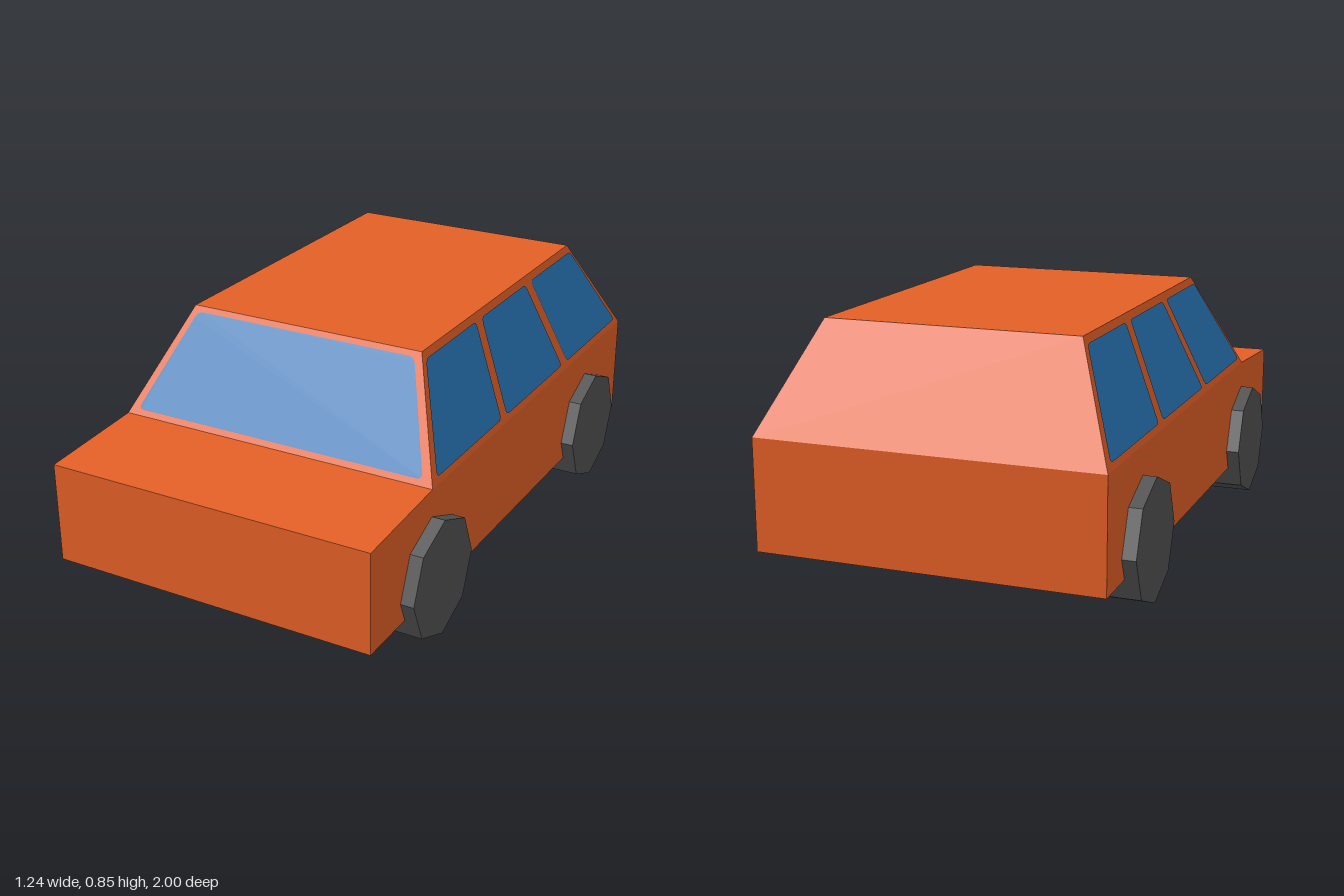
import * as THREE from 'three';

const HALF_W = 0.575, BELT = 0.5, ROOF = 0.847;

// Closed outline with small rounded corners
function roundedShape(pts, r = 0.02) {
  const v = pts.map(([a, b]) => new THREE.Vector2(a, b));
  const shape = new THREE.Shape();
  v.forEach((p, i) => {
    const toward = (q) => p.clone().add(q.clone().sub(p).setLength(r));
    const a = toward(v[(i + v.length - 1) % v.length]);
    const b = toward(v[(i + 1) % v.length]);
    if (i === 0) shape.moveTo(a.x, a.y);
    else shape.lineTo(a.x, a.y);
    shape.quadraticCurveTo(p.x, p.y, b.x, b.y);
  });
  shape.closePath();
  return shape;
}

// Lays a flat outline (u, y) onto a sloping cabin face
function pane(name, pts, material, place) {
  const geo = new THREE.ShapeGeometry(roundedShape(pts), 4);
  const pos = geo.attributes.position;
  for (let i = 0; i < pos.count; i++) {
    pos.setXYZ(i, ...place(pos.getX(i), pos.getY(i)));
  }
  geo.computeVertexNormals();
  const mesh = new THREE.Mesh(geo, material);
  mesh.name = name;
  return mesh;
}

export function createModel() {
  const car = new THREE.Group();
  car.name = 'car';

  const paint = new THREE.MeshStandardMaterial({ color: 0xe35f26 });
  paint.name = 'orange paint';
  const glass = new THREE.MeshStandardMaterial({ color: 0x2879ba });
  glass.name = 'blue glass';
  const rubber = new THREE.MeshStandardMaterial({ color: 0x525252, flatShading: true });
  rubber.name = 'dark grey rubber';

  // Lower body: side profile (z, y) extruded across the width
  const profile = new THREE.Shape(
    [[-1, 0.13], [1, 0.13], [1, 0.475], [0.61, BELT], [-1, BELT]].map(([z, y]) => new THREE.Vector2(z, y)));
  const bodyGeo = new THREE.ExtrudeGeometry(profile, { depth: 2 * HALF_W, bevelEnabled: false });
  bodyGeo.translate(0, 0, -HALF_W).rotateY(-Math.PI / 2);
  const body = new THREE.Mesh(bodyGeo, paint);
  body.name = 'lowerBody';
  car.add(body);

  // Cabin: a box tapering towards the roof
  const cabinGeo = new THREE.BoxGeometry(2, 2, 2);
  const p = cabinGeo.attributes.position;
  for (let i = 0; i < p.count; i++) {
    const top = p.getY(i) > 0, front = p.getZ(i) > 0;
    p.setXYZ(i,
      p.getX(i) * (top ? 0.425 : HALF_W),
      top ? ROOF : BELT,
      front ? (top ? 0.4 : 0.61) : (top ? -0.79 : -1));
  }
  cabinGeo.computeVertexNormals();
  const cabin = new THREE.Mesh(cabinGeo, paint);
  cabin.name = 'cabin';
  car.add(cabin);

  // Windscreen
  const rise = (y) => (y - BELT) / (ROOF - BELT);
  car.add(pane('windscreen',
    [[-0.536, 0.52], [0.536, 0.52], [0.406, 0.831], [-0.406, 0.831]], glass,
    (u, y) => [u, y, 0.614 - 0.21 * rise(y)]));

  // Side windows, three on each side, given as (z, y)
  const lo = 0.522, hi = 0.825;
  const windows = {
    FrontWindow: [[0.57, lo], [0.397, hi], [0.033, hi], [0.092, lo]],
    MiddleWindow: [[0.05, lo], [-0.01, hi], [-0.373, hi], [-0.432, lo]],
    RearWindow: [[-0.48, lo], [-0.42, hi], [-0.788, hi], [-0.96, lo]],
  };
  for (const s of [1, -1]) {
    for (const [name, pts] of Object.entries(windows)) {
      car.add(pane((s > 0 ? 'left' : 'right') + name,
        pts.map(([z, y]) => [-s * z, y]), glass,
        (u, y) => [s * (HALF_W + 0.004 - 0.15 * rise(y)), y, -s * u]));
    }
  }

  // Wheel pairs: eight-sided rollers running across the whole width
  const wheelGeo = new THREE.CylinderGeometry(0.203, 0.203, 1.24, 8).rotateZ(Math.PI / 2);
  for (const [name, z] of [['frontWheels', 0.61], ['rearWheels', -0.66]]) {
    const wheels = new THREE.Mesh(wheelGeo, rubber);
    wheels.name = name;
    wheels.position.set(0, 0.203, z);
    car.add(wheels);
  }

  return car;
}
